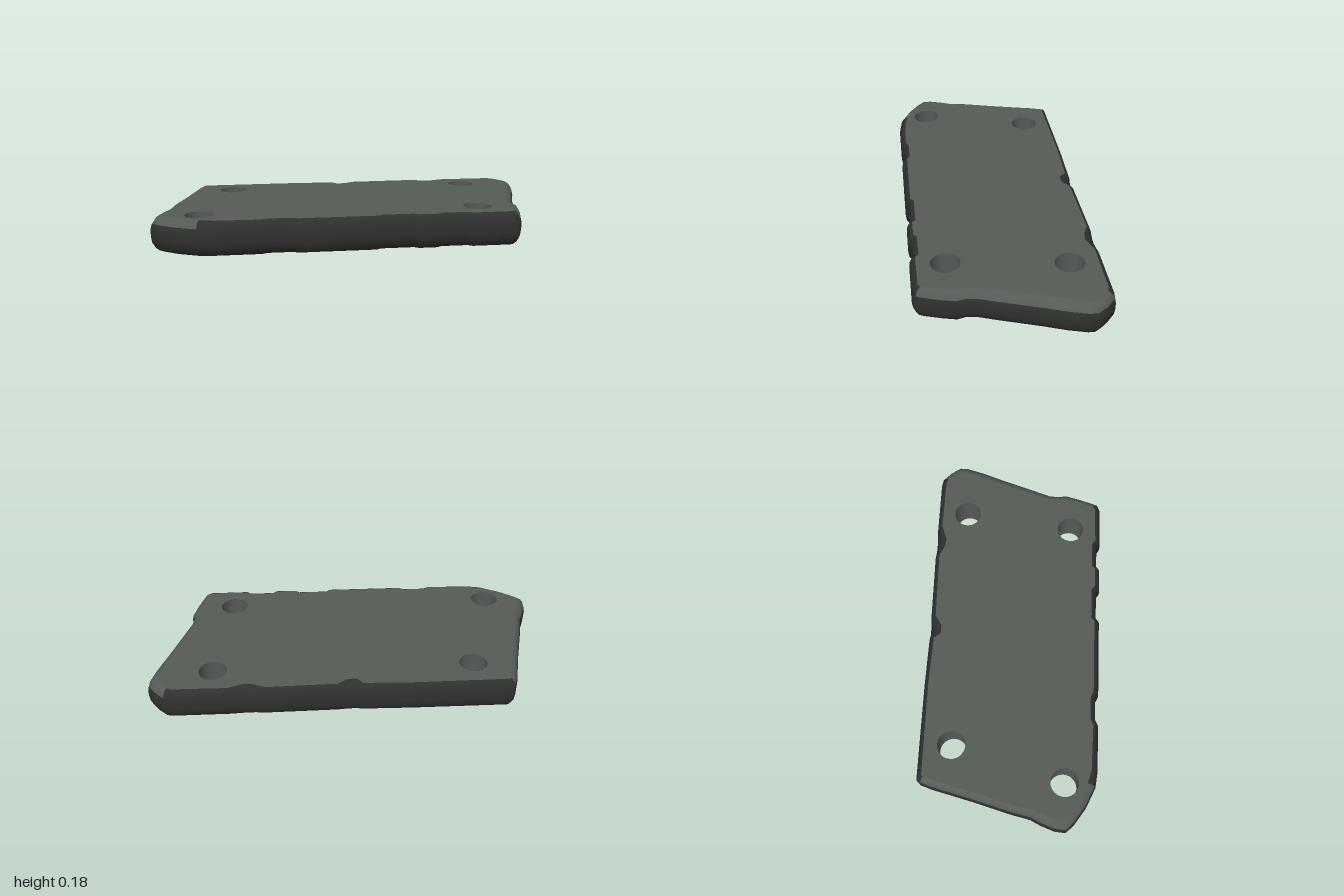
import * as THREE from 'three';

const HEIGHT = 0.176;
const HOLE_RADIUS = 0.07;
const HOLES = [[-0.61, -0.285], [0.68, -0.285], [-0.77, 0.28], [0.61, 0.28]];

// Plan outline, clockwise from the back: x, z, strength of the top bevel
const OUTLINE = [
  [-0.78, -0.45, 1], [-0.74, -0.45, 1], [-0.3, -0.45, 0.9], [-0.05, -0.445, 1], [-0.02, -0.44, 2], [0.02, -0.44, 2],
  [0.07, -0.445, 1], [0.42, -0.45, 0.9], [0.48, -0.445, 1.6], [0.52, -0.445, 1.8], [0.6, -0.45, 1], [0.87, -0.45, 1.1],
  [0.91, -0.445, 1.3], [0.96, -0.4, 1.6], [0.995, -0.35, 1.8], [0.995, -0.31, 1.8], [0.97, -0.22, 1.8],
  [0.93, -0.11, 1.7], [0.87, 0.07, 1.7], [0.838, 0.16, 1.5], [0.832, 0.21, 1.3], [0.842, 0.25, 1.5],
  [0.825, 0.32, 1.5], [0.8, 0.4, 1.5], [0.785, 0.432, 1.3], [0.75, 0.445, 1.1],
  [0.54, 0.445, 1], [0.52, 0.428, 1], [0.41, 0.428, 1], [0.39, 0.445, 1],
  [0.27, 0.445, 1], [0.25, 0.428, 1], [0.11, 0.428, 1], [0.09, 0.445, 1],
  [-0.31, 0.445, 1], [-0.34, 0.43, 1], [-0.44, 0.43, 1], [-0.47, 0.445, 1],
  [-0.7, 0.445, 1.2], [-0.78, 0.435, 1.5], [-0.88, 0.39, 1.8], [-0.96, 0.335, 1.8], [-1, 0.295, 1.8],
  [-0.995, 0.24, 1.6], [-0.97, 0.17, 1.5], [-0.945, 0.12, 1.4], [-0.925, 0.03, 1.2], [-0.87, -0.17, 1.2],
  [-0.82, -0.37, 1.2], [-0.8, -0.43, 1.2],
];

// Rim cross-section from bottom to top: height, inset, whether the bevel strength applies
const PROFILE = [
  [0, 0.055, 0], [0.006, 0.035, 0], [0.022, 0.018, 0], [0.05, 0.004, 0], [0.08, 0, 0], [0.115, 0, 0],
  [0.142, 0.004, 1], [0.162, 0.012, 1], [0.172, 0.021, 1], [HEIGHT, 0.029, 1],
];

// Inward mitre direction at every outline corner
const inward = OUTLINE.map(([x, z], i) => {
  const n = OUTLINE.length;
  const [px, pz] = OUTLINE[(i + n - 1) % n];
  const [qx, qz] = OUTLINE[(i + 1) % n];
  const a = new THREE.Vector2(-(z - pz), x - px).normalize();
  const b = new THREE.Vector2(-(qz - z), qx - x).normalize();
  const m = a.clone().add(b).normalize();
  return m.divideScalar(Math.max(0.7, m.dot(a)));
});

function ring([, inset, scaled]) {
  return OUTLINE.map(([x, z, k], i) => {
    const d = inset * (scaled ? k : 1);
    return new THREE.Vector2(x + inward[i].x * d, z + inward[i].y * d);
  });
}

// Rounded rim; the upper bevel of both short ends takes the face colour
function rimGeometry() {
  const n = OUTLINE.length;
  const positions = PROFILE.flatMap(p => ring(p).flatMap(v => [v.x, p[0], v.y]));
  const dark = [], light = [];
  for (let r = 0; r < PROFILE.length - 1; r++) {
    for (let i = 0; i < n; i++) {
      const j = (i + 1) % n;
      const a = r * n + i, b = r * n + j, c = a + n, d = b + n;
      const atEnd = OUTLINE[i][2] >= 1.2 && OUTLINE[j][2] >= 1.2 && Math.abs(OUTLINE[i][0]) > 0.7;
      (r >= 6 && atEnd ? light : dark).push(a, c, b, b, c, d);
    }
  }
  const g = new THREE.BufferGeometry();
  g.setAttribute('position', new THREE.Float32BufferAttribute(positions, 3));
  g.setIndex([...dark, ...light]);
  g.addGroup(0, dark.length, 0);
  g.addGroup(dark.length, light.length, 1);
  g.computeVertexNormals();
  return g;
}

// Flat face with four holes; sign is +1 for the top, -1 for the underside
function faceGeometry(profilePoint, sign) {
  const shape = new THREE.Shape(ring(profilePoint).map(v => new THREE.Vector2(v.x, -sign * v.y)));
  for (const [x, z] of HOLES) {
    shape.holes.push(new THREE.Path().absarc(x, -sign * z, HOLE_RADIUS, 0, Math.PI * 2, true));
  }
  const g = new THREE.ShapeGeometry(shape, 12);
  g.rotateX(-sign * Math.PI / 2);
  g.translate(0, profilePoint[0], 0);
  return g;
}

export function createModel() {
  const group = new THREE.Group();
  const faceGrey = new THREE.MeshStandardMaterial({ color: 0x565b56 });
  faceGrey.name = 'faceGrey';
  const rimCharcoal = new THREE.MeshStandardMaterial({ color: 0x303030 });
  rimCharcoal.name = 'rimCharcoal';

  const add = (name, geometry, material) => {
    const mesh = new THREE.Mesh(geometry, material);
    mesh.name = name;
    group.add(mesh);
    return mesh;
  };

  add('rim', rimGeometry(), [rimCharcoal, faceGrey]);
  add('topFace', faceGeometry(PROFILE[PROFILE.length - 1], 1), faceGrey);
  add('underside', faceGeometry(PROFILE[0], -1), rimCharcoal);

  // Hole walls, turned to face inward
  const wall = new THREE.CylinderGeometry(HOLE_RADIUS, HOLE_RADIUS, HEIGHT, 24, 1, true);
  wall.scale(-1, 1, 1);
  wall.computeVertexNormals();
  for (const [x, z] of HOLES) add('holeWall', wall, faceGrey).position.set(x, HEIGHT / 2, z);

  return group;
}
